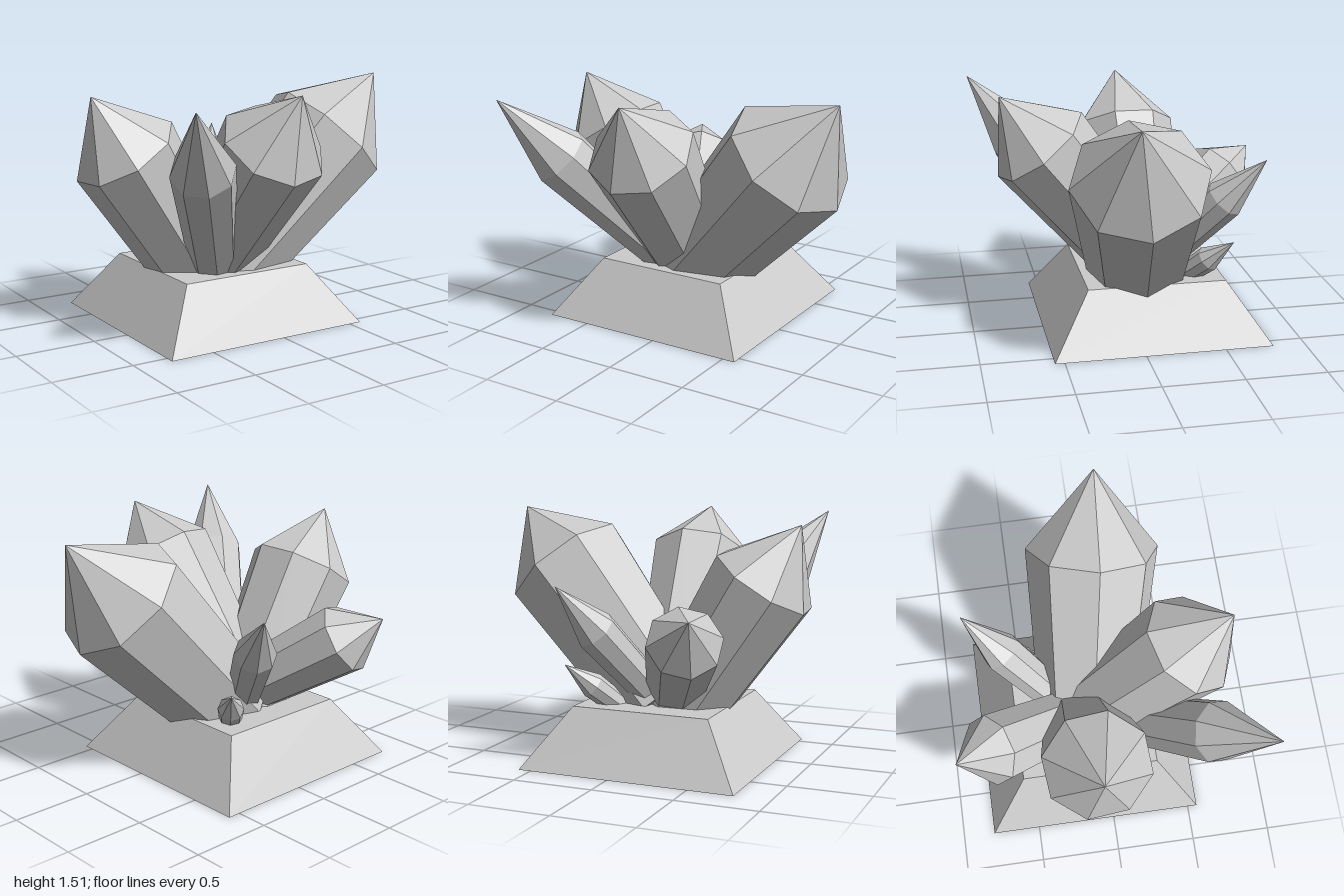
import * as THREE from 'three';

const material = new THREE.MeshStandardMaterial({ color: 0xcccccc, flatShading: true });

// Eight-sided crystal: tapered shaft widening to a shoulder, then a pointed tip.
// corner is a point near one shoulder corner; it sets the twist about the axis.
function makeCrystal({ name, tip, shoulder, corner, radius, shaft }) {
  const tipPoint = new THREE.Vector3(...tip);
  const centre = new THREE.Vector3(...shoulder);
  const axis = tipPoint.clone().sub(centre);
  const tipLength = axis.length();
  axis.normalize();

  const profile = [
    new THREE.Vector2(0, -shaft),
    new THREE.Vector2(radius * 0.78, -shaft),
    new THREE.Vector2(radius, 0),
    new THREE.Vector2(0, tipLength),
  ];
  const geometry = new THREE.LatheGeometry(profile, 8);

  const out = new THREE.Vector3(...corner).sub(centre);
  out.addScaledVector(axis, -out.dot(axis)).normalize();
  const side = new THREE.Vector3().crossVectors(axis, out);
  geometry.applyMatrix4(new THREE.Matrix4().makeBasis(side, axis, out).setPosition(centre));

  const mesh = new THREE.Mesh(geometry, material);
  mesh.name = name;
  return mesh;
}

const crystals = [
  { name: 'largeLeftCrystal', tip: [1.0, 1.51, 0.12], shoulder: [0.665, 1.14, 0.06], corner: [0.97, 0.86, 0.05], radius: 0.415, shaft: 1.12 },
  { name: 'frontCrystal', tip: [-0.05, 1.5, 0.79], shoulder: [-0.075, 1.185, 0.545], corner: [-0.11, 0.99, 0.81], radius: 0.33, shaft: 1.1 },
  { name: 'rightCrystal', tip: [-0.94, 1.46, -0.09], shoulder: [-0.72, 1.115, -0.1], corner: [-1.0, 0.95, -0.2], radius: 0.335, shaft: 0.97 },
  { name: 'slimFrontCrystal', tip: [-0.83, 1.48, 0.93], shoulder: [-0.61, 1.1, 0.63], corner: [-0.65, 0.97, 0.76], radius: 0.19, shaft: 1.1 },
  { name: 'backCrystal', tip: [-0.56, 0.98, -0.93], shoulder: [-0.455, 0.83, -0.72], corner: [-0.36, 0.66, -0.87], radius: 0.225, shaft: 0.85 },
  { name: 'slimBackCrystal', tip: [0.32, 1.12, -0.8], shoulder: [0.17, 0.84, -0.58], corner: [0.23, 0.77, -0.66], radius: 0.13, shaft: 0.8 },
  { name: 'smallBackCrystal', tip: [0.37, 0.62, -0.59], shoulder: [0.25, 0.48, -0.46], corner: [0.29, 0.41, -0.5], radius: 0.08, shaft: 0.4 },
];

export function createModel() {
  const group = new THREE.Group();
  group.name = 'crystalCluster';

  // Square pedestal with sloping sides
  const pedestalGeometry = new THREE.CylinderGeometry(0.435 * Math.SQRT2, 0.68 * Math.SQRT2, 0.36, 4);
  pedestalGeometry.rotateY(Math.PI / 4);
  const pedestal = new THREE.Mesh(pedestalGeometry, material);
  pedestal.name = 'pedestal';
  pedestal.position.set(-0.1, 0.18, -0.12);
  group.add(pedestal);

  // Crystals fanning out from the pedestal
  for (const crystal of crystals) group.add(makeCrystal(crystal));

  return group;
}
